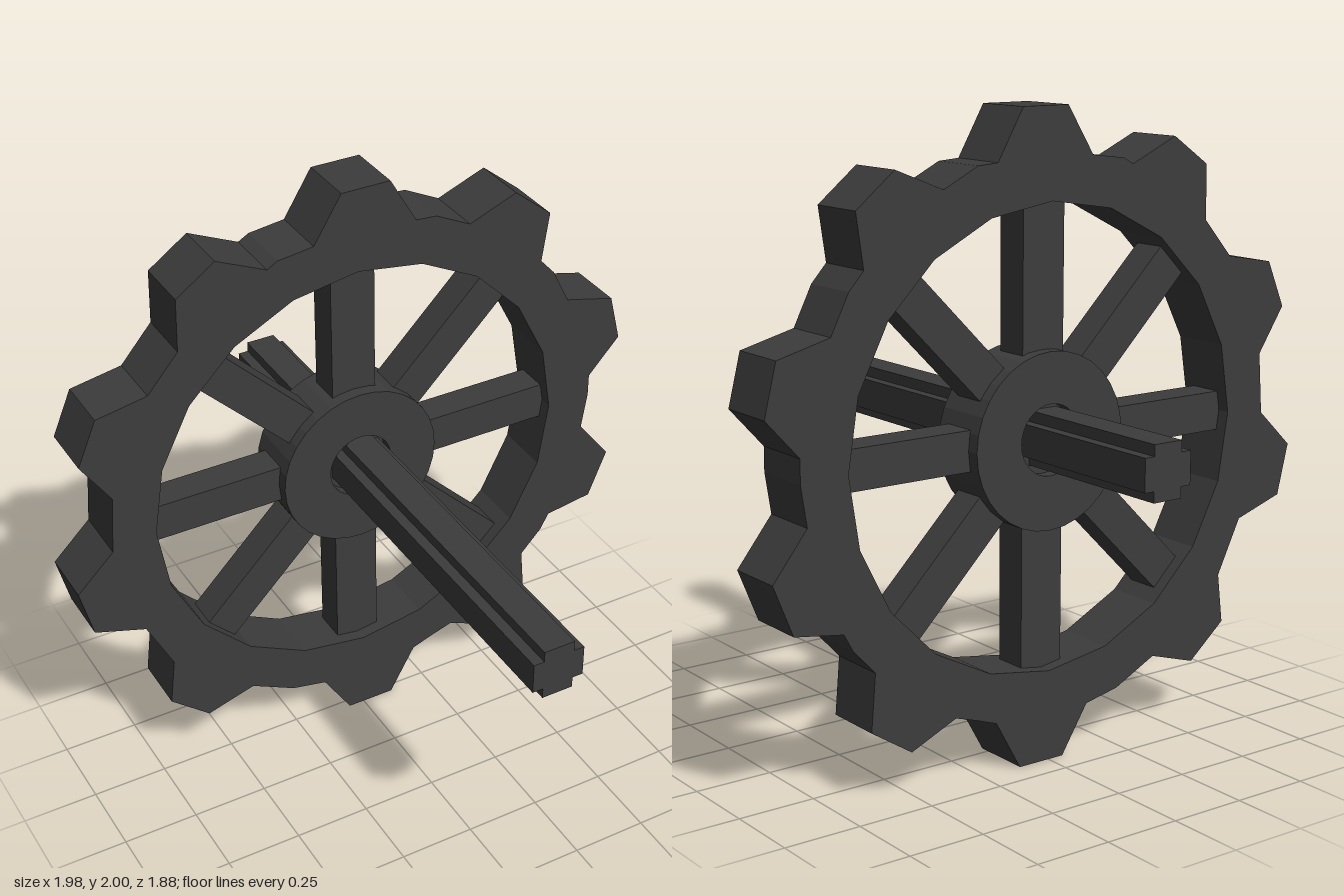
import * as THREE from 'three';

const CY = 1.005;      // wheel centre height
const WHEEL_Z = -0.317; // middle plane of the wheel
const WHEEL_D = 0.193;

// Flat outline extruded along z, centred on the given z
function extrude(shape, depth, z, curveSegments = 16) {
  const g = new THREE.ExtrudeGeometry(shape, { depth, bevelEnabled: false, curveSegments });
  return g.translate(0, 0, z - depth / 2);
}

export function createModel() {
  const group = new THREE.Group();
  const charcoal = new THREE.MeshStandardMaterial({ color: 0x3c3c3c });
  const add = (name, geometry) => {
    const mesh = new THREE.Mesh(geometry, charcoal);
    mesh.name = name;
    group.add(mesh);
    return mesh;
  };

  // Toothed rim: uneven ten-tooth outline with a twenty-sided opening
  const outline = [
    [-.15, 1.85], [-.055, 2], [.11, 2], [.2, 1.845], [.27, 1.84], [.39, 1.78],
    [.555, 1.845], [.685, 1.74], [.66, 1.575], [.71, 1.52], [.77, 1.4],
    [.945, 1.355], [.985, 1.195], [.875, 1.075], [.875, 1], [.855, .875],
    [.97, .73], [.905, .57], [.74, .545], [.71, .49], [.635, .41],
    [.65, .23], [.51, .14], [.35, .21], [.27, .185], [.2, .16],
    [.11, 0], [-.055, 0], [-.15, .15], [-.27, .175], [-.42, .25],
    [-.585, .2], [-.715, .31], [-.695, .47], [-.78, .645],
    [-.95, .7], [-.99, .865], [-.865, .985], [-.85, 1.18],
    [-.945, 1.325], [-.88, 1.475], [-.71, 1.505], [-.605, 1.625],
    [-.6, 1.8], [-.47, 1.89], [-.305, 1.815], [-.27, 1.835],
  ].map(([x, y]) => new THREE.Vector2(x, y));
  const rim = new THREE.Shape(outline);
  const opening = [];
  for (let i = 0; i < 20; i++) {
    const a = (i / 20) * Math.PI * 2;
    opening.push(new THREE.Vector2(Math.cos(a) * 0.718, CY + Math.sin(a) * 0.718));
  }
  rim.holes.push(new THREE.Path(opening));
  add('toothedRim', extrude(rim, WHEEL_D, WHEEL_Z));

  // Spokes: four bars crossing at the centre, thinner than the rim
  [0.125, 0.125, 0.152, 0.125].forEach((width, i) => {
    const bar = add('spokeBar', new THREE.BoxGeometry(1.44, width, 0.11));
    bar.position.set(0, CY, WHEEL_Z);
    bar.rotation.z = (i * Math.PI) / 4;
  });

  // Hub ring with a round bore, backed by the crossing spokes
  const hub = new THREE.Shape();
  hub.absarc(0, CY, 0.274, 0, Math.PI * 2);
  const bore = new THREE.Path();
  bore.absarc(0, CY + 0.005, 0.11, 0, Math.PI * 2, true);
  hub.holes.push(bore);
  add('hub', extrude(hub, WHEEL_D, WHEEL_Z));

  // Axle with a cross-shaped section
  const a = 0.084, b = 0.05;
  const cross = new THREE.Shape([
    [a, -b], [a, b], [b, b], [b, a], [-b, a], [-b, b],
    [-a, b], [-a, -b], [-b, -b], [-b, -a], [b, -a], [b, -b],
  ].map(([x, y]) => new THREE.Vector2(x, y + 1.016)));
  add('axle', extrude(cross, 1.875, 0));

  return group;
}
